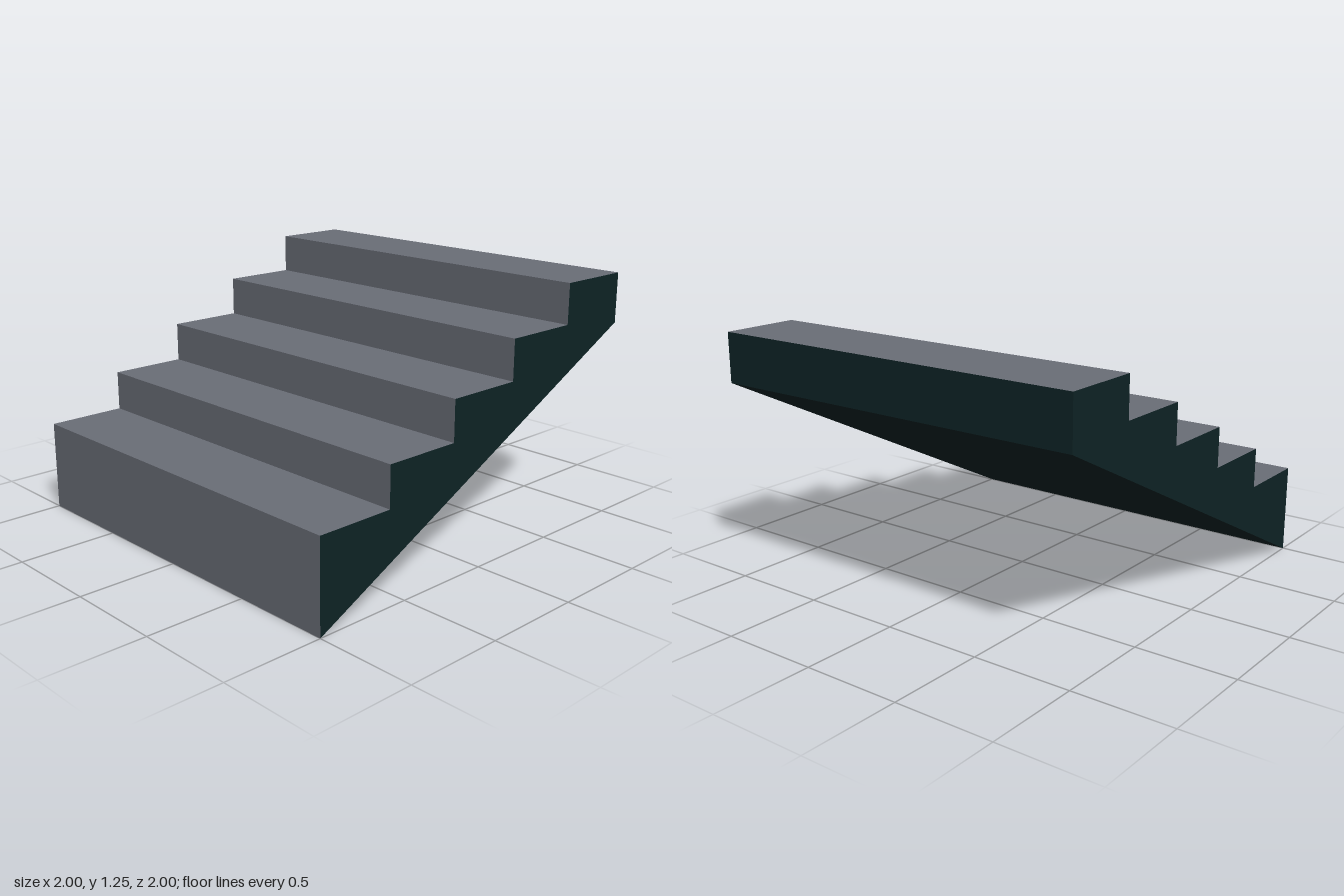
import * as THREE from 'three';

const STEPS = 5, WIDTH = 2, RUN = 0.4, RISE = 0.2, FIRST_RISE = 0.45;

export function createModel() {
  const stepGrey = new THREE.MeshStandardMaterial({ color: 0x6a6e77 });
  stepGrey.name = 'stepGrey';
  const undersideDark = new THREE.MeshStandardMaterial({ color: 0x0e2325 });
  undersideDark.name = 'undersideDark';

  // Side profile: x runs from the front of the stairs to the back
  const profile = new THREE.Shape();
  profile.moveTo(-1, 0);
  profile.lineTo(1, 1); // sloping underside
  for (let i = STEPS - 1; i >= 0; i--) {
    const y = FIRST_RISE + i * RISE;
    profile.lineTo(-1 + (i + 1) * RUN, y); // back edge of the tread
    profile.lineTo(-1 + i * RUN, y); // front edge of the tread
  }
  profile.closePath();

  // Extrude across the width and turn the low end to the front
  const geometry = new THREE.ExtrudeGeometry(profile, { depth: WIDTH, bevelEnabled: false });
  geometry.translate(0, 0, -WIDTH / 2).rotateY(Math.PI / 2);

  // Treads face up and risers face forward: grey; sides, back and underside: dark
  const normal = geometry.attributes.normal;
  geometry.clearGroups();
  for (let i = 0; i < normal.count; i += 3) {
    const isStep = normal.getY(i) > 0.5 || normal.getZ(i) > 0.5;
    const material = isStep ? 0 : 1;
    const last = geometry.groups.at(-1);
    if (last && last.materialIndex === material) last.count += 3;
    else geometry.addGroup(i, 3, material);
  }

  const stairs = new THREE.Mesh(geometry, [stepGrey, undersideDark]);
  stairs.name = 'stairFlight';

  const model = new THREE.Group();
  model.name = 'stairs';
  model.add(stairs);
  return model;
}
